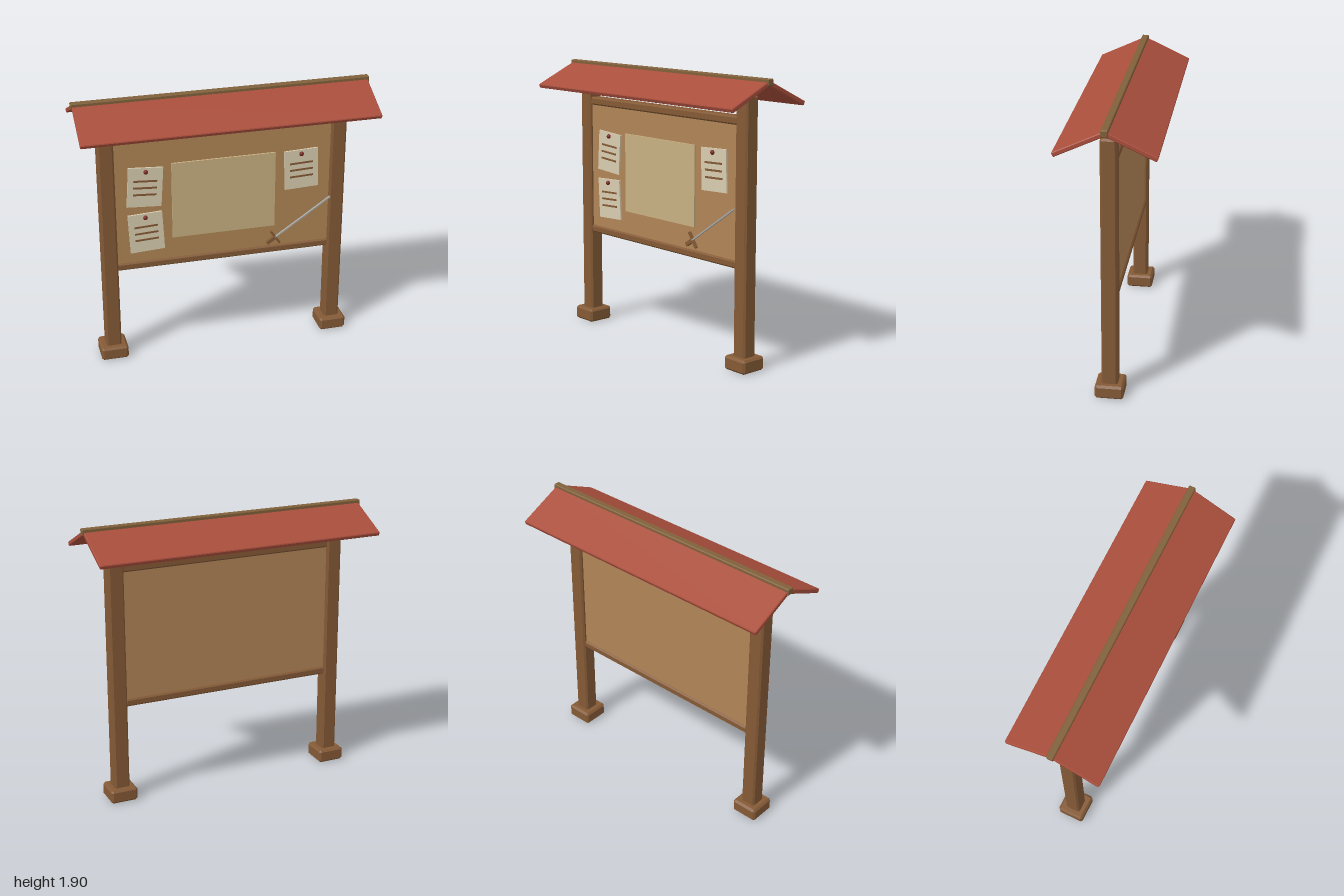
import * as THREE from 'three';
import { ConvexGeometry } from 'three/addons/geometries/ConvexGeometry.js';

const material = (name, color) => {
  const m = new THREE.MeshStandardMaterial({ color });
  m.name = name;
  return m;
};

// Box with flat chamfers on every edge
function chamferBox(w, h, d, c) {
  const points = [];
  for (const x of [-1, 1]) for (const y of [-1, 1]) for (const z of [-1, 1]) {
    for (const keep of [0, 1, 2]) {
      const half = [w / 2, h / 2, d / 2].map((v, i) => (i === keep ? v : v - c));
      points.push(new THREE.Vector3(x * half[0], y * half[1], z * half[2]));
    }
  }
  return new ConvexGeometry(points);
}

function add(parent, name, geometry, mat, x = 0, y = 0, z = 0) {
  const mesh = new THREE.Mesh(geometry, mat);
  mesh.name = name;
  mesh.position.set(x, y, z);
  parent.add(mesh);
  return mesh;
}

export function createModel() {
  const model = new THREE.Group();
  model.name = 'noticeBoard';

  const wood = material('brown wood', 0x845a36);
  const ridgeWood = material('ridge wood', 0x80603a);
  const cork = material('cork board', 0xb08455);
  const roofRed = material('red roof', 0xa94e3c);
  const paper = material('paper', 0xd8ccb0);
  const parchment = material('parchment', 0xc8b082);
  const pinRed = material('dark red pin', 0x7a2a26);
  const steel = material('steel', 0xa8a8a4);

  // Posts and feet
  for (const side of [-1, 1]) {
    const name = side > 0 ? 'left' : 'right';
    add(model, name + 'Post', chamferBox(0.106, 1.74, 0.106, 0.012), wood, side * 0.795, 0.92, 0);
    add(model, name + 'Foot', chamferBox(0.188, 0.094, 0.188, 0.014), wood, side * 0.795, 0.047, 0);
  }

  // Board and rails
  add(model, 'board', new THREE.BoxGeometry(1.5, 0.94, 0.06), cork, 0, 1.16, 0);
  add(model, 'topRail', chamferBox(1.5, 0.056, 0.084, 0.01), wood, 0, 1.627, 0);
  add(model, 'bottomRail', chamferBox(1.5, 0.052, 0.084, 0.01), wood, 0, 0.696, 0);

  // Roof slopes and ridge beam
  const slope = chamferBox(1.98, 0.03, 0.348, 0.005);
  for (const side of [-1, 1]) {
    const panel = add(model, side > 0 ? 'frontRoof' : 'backRoof', slope, roofRed, 0, 1.804, side * 0.158);
    panel.rotation.x = side * 0.436;
  }
  add(model, 'ridgeBeam', chamferBox(2, 0.044, 0.046, 0.005), ridgeWood, 0, 1.883, 0);

  // Large sheet in the middle
  add(model, 'largeSheet', new THREE.BoxGeometry(0.715, 0.55, 0.012), parchment, -0.003, 1.155, 0.036);

  // Small notices with written lines and a pin
  const notices = [[-0.542, 1.278, -0.065], [-0.541, 0.943, 0.05], [0.538, 1.288, 0.04]];
  for (const [x, y, tilt] of notices) {
    const notice = new THREE.Group();
    notice.name = 'notice';
    notice.position.set(x, y, 0.036);
    notice.rotation.z = tilt;
    model.add(notice);
    add(notice, 'sheet', new THREE.BoxGeometry(0.235, 0.283, 0.012), paper);
    for (const dy of [0.046, -0.003, -0.052]) {
      add(notice, 'writtenLine', new THREE.BoxGeometry(0.16, 0.013, 0.005), wood, 0, dy, 0.007);
    }
    const pin = add(notice, 'pin', new THREE.SphereGeometry(0.016, 12, 8), pinRed, 0, 0.115, 0.014);
    pin.scale.z = 0.85;
  }

  // Small sword hung diagonally, origin at the guard
  const sword = new THREE.Group();
  sword.name = 'sword';
  sword.position.set(0.357, 0.797, 0.055);
  sword.rotation.z = 0.6;
  model.add(sword);
  add(sword, 'blade', new THREE.BoxGeometry(0.47, 0.01, 0.014), steel, 0.235, 0, 0.004);
  add(sword, 'guard', new THREE.BoxGeometry(0.015, 0.118, 0.02), wood);
  add(sword, 'grip', new THREE.BoxGeometry(0.072, 0.026, 0.022), wood, -0.036, 0, 0);

  return model;
}
